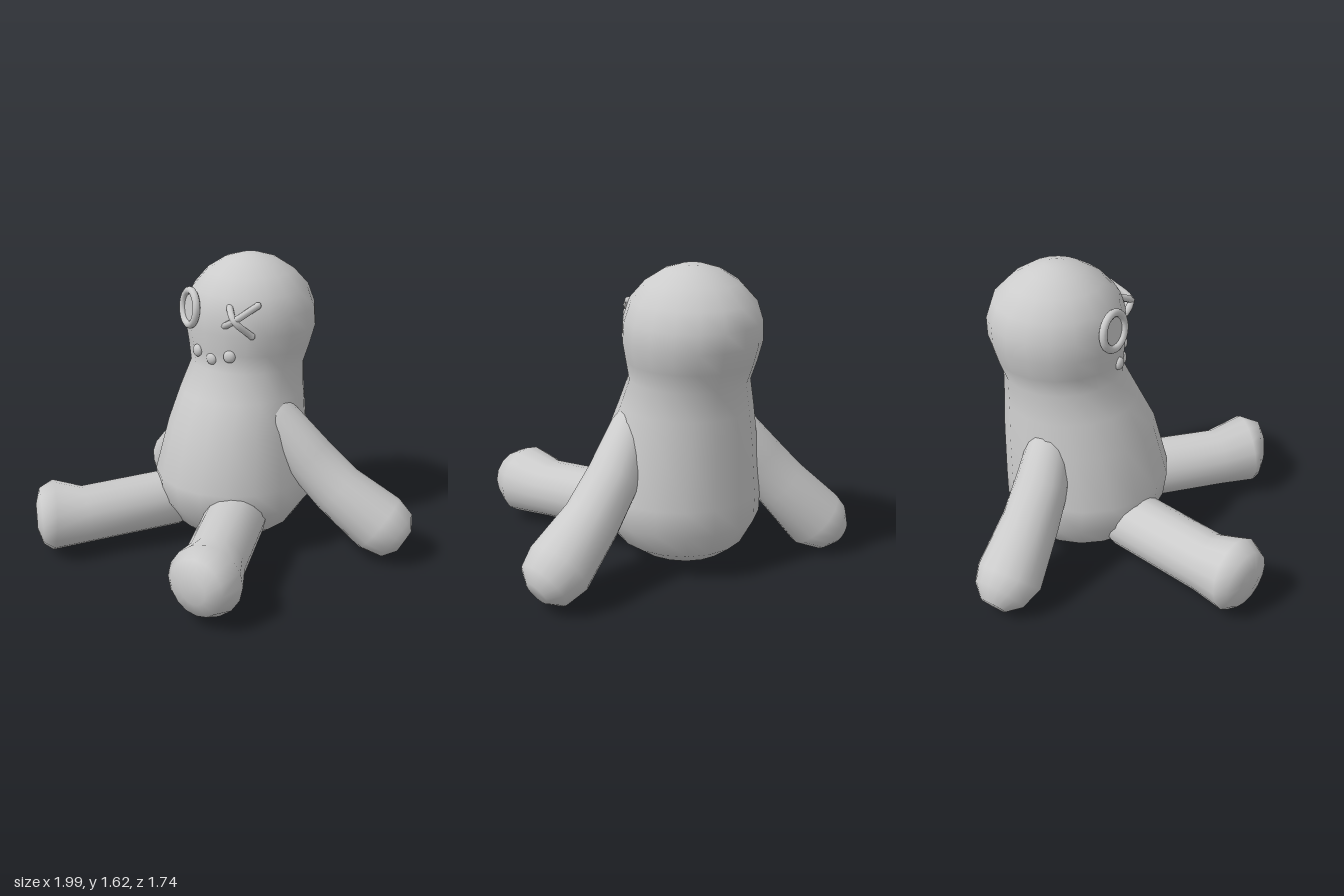
import * as THREE from 'three';

const material = new THREE.MeshStandardMaterial({ color: 0xcccccc });
const V = (x, y, z) => new THREE.Vector3(x, y, z);

// Closed smooth skin over rings { c, u, v }, capped at both ends; u x v points along the path
function loft(rings, sides) {
  const pos = [], idx = [];
  for (const { c, u, v } of rings) {
    for (let j = 0; j < sides; j++) {
      const a = (j / sides) * Math.PI * 2;
      pos.push(...c.clone().addScaledVector(u, Math.cos(a)).addScaledVector(v, Math.sin(a)).toArray());
    }
  }
  const last = (rings.length - 1) * sides, tip = rings.length * sides;
  pos.push(...rings[0].c.toArray(), ...rings.at(-1).c.toArray());
  for (let j = 0; j < sides; j++) {
    const k = (j + 1) % sides;
    for (let i = 0; i < last; i += sides) {
      idx.push(i + j, i + k, i + sides + j, i + k, i + sides + k, i + sides + j);
    }
    idx.push(tip, k, j, tip + 1, last + j, last + k);
  }
  const geo = new THREE.BufferGeometry();
  geo.setAttribute('position', new THREE.Float32BufferAttribute(pos, 3));
  geo.setIndex(idx);
  geo.computeVertexNormals();
  return geo;
}

// Round limb through points [x, y, z, radius], rings square to the path
function limb(points) {
  const c = points.map(p => V(p[0], p[1], p[2]));
  const rings = points.map((p, i) => {
    const t = c[Math.min(i + 1, c.length - 1)].clone().sub(c[Math.max(i - 1, 0)]).normalize();
    const u = V(0, 1, 0).cross(t).normalize();
    const v = t.clone().cross(u);
    return { c: c[i], u: u.multiplyScalar(p[3]), v: v.multiplyScalar(p[3]) };
  });
  return loft(rings, 16);
}

export function createModel() {
  const model = new THREE.Group();
  const add = (name, geometry) => {
    const mesh = new THREE.Mesh(geometry, material);
    mesh.name = name;
    model.add(mesh);
    return mesh;
  };

  // Body and head in one skin: [y, centre x, centre z, radius x, radius z]
  const body = [
    [0.055, -0.06, -0.21, 0.12, 0.12],
    [0.08, -0.06, -0.22, 0.24, 0.26],
    [0.15, -0.06, -0.22, 0.34, 0.35],
    [0.29, -0.055, -0.21, 0.43, 0.435],
    [0.43, -0.055, -0.2, 0.44, 0.445],
    [0.72, -0.045, -0.235, 0.385, 0.405],
    [0.9, -0.035, -0.275, 0.348, 0.355],
    [1.05, -0.02, -0.31, 0.315, 0.315],
    [1.15, -0.015, -0.325, 0.338, 0.338],
    [1.26, -0.012, -0.335, 0.362, 0.358],
    [1.36, -0.012, -0.337, 0.352, 0.357],
    [1.46, -0.015, -0.335, 0.318, 0.325],
    [1.55, -0.015, -0.33, 0.24, 0.24],
    [1.61, -0.015, -0.33, 0.145, 0.145],
    [1.635, -0.015, -0.33, 0.06, 0.06],
  ];
  add('body', loft(body.map(([y, x, z, rx, rz]) => ({ c: V(x, y, z), u: V(0, 0, rz), v: V(rx, 0, 0) })), 18));

  // Arms, sloping out and down to rounded hands
  add('leftArm', limb([
    [0.12, 0.91, -0.13, 0.06], [0.23, 0.79, -0.15, 0.115], [0.4, 0.57, -0.19, 0.14],
    [0.57, 0.395, -0.215, 0.15], [0.81, 0.22, -0.245, 0.175],
    [0.91, 0.16, -0.25, 0.145], [0.955, 0.135, -0.25, 0.07],
  ]));
  add('rightArm', limb([
    [-0.14, 0.91, -0.33, 0.06], [-0.25, 0.77, -0.4, 0.115], [-0.38, 0.57, -0.47, 0.14],
    [-0.49, 0.41, -0.545, 0.15], [-0.65, 0.19, -0.675, 0.175],
    [-0.72, 0.135, -0.735, 0.14], [-0.76, 0.1, -0.77, 0.07],
  ]));

  // Legs, straight out to flared feet with blunt soles
  add('leftLeg', limb([
    [0.07, 0.26, -0.06, 0.1], [0.09, 0.255, 0.08, 0.165], [0.19, 0.225, 0.58, 0.163],
    [0.235, 0.242, 0.77, 0.195], [0.225, 0.242, 0.85, 0.155], [0.22, 0.242, 0.88, 0.075],
  ]));
  add('rightLeg', limb([
    [-0.22, 0.26, -0.12, 0.1], [-0.34, 0.255, -0.01, 0.16], [-0.72, 0.22, 0.345, 0.16],
    [-0.855, 0.242, 0.465, 0.195], [-0.905, 0.242, 0.505, 0.155], [-0.925, 0.242, 0.52, 0.07],
  ]));

  // Ring eye with a shallow centre disc
  const normal = V(-0.66, 0.1, 0.75).normalize();
  const eye = V(-0.26, 1.365, -0.075);
  const ring = add('ringEye', new THREE.TorusGeometry(0.093, 0.021, 10, 28));
  const disc = add('ringEyeCentre', new THREE.CircleGeometry(0.09, 28));
  for (const part of [ring, disc]) {
    part.position.copy(eye);
    part.lookAt(eye.clone().add(normal));
  }

  // Crossed-stitch eye: two bowed threads
  const stitches = [
    [V(-0.035, 1.3, -0.01), V(0.065, 1.362, 0.055), V(0.155, 1.43, -0.04)],
    [V(-0.012, 1.43, -0.04), V(0.065, 1.36, 0.06), V(0.135, 1.27, -0.01)],
  ];
  for (const path of stitches) {
    add('stitchEye', new THREE.TubeGeometry(new THREE.CatmullRomCurve3(path), 12, 0.019, 8));
    for (const end of [path[0], path[2]]) {
      add('stitchEnd', new THREE.SphereGeometry(0.019, 8, 6)).position.copy(end);
    }
  }

  // Three mouth beads, flattened against the face
  for (const [x, y, z] of [[-0.197, 1.142, -0.04], [-0.098, 1.117, -0.01], [0.015, 1.147, 0.01]]) {
    const bead = add('mouthBead', new THREE.SphereGeometry(0.034, 14, 10));
    bead.position.set(x, y, z);
    bead.lookAt(2 * x + 0.015, y, 2 * z + 0.33);
    bead.scale.z = 0.65;
  }
  return model;
}
